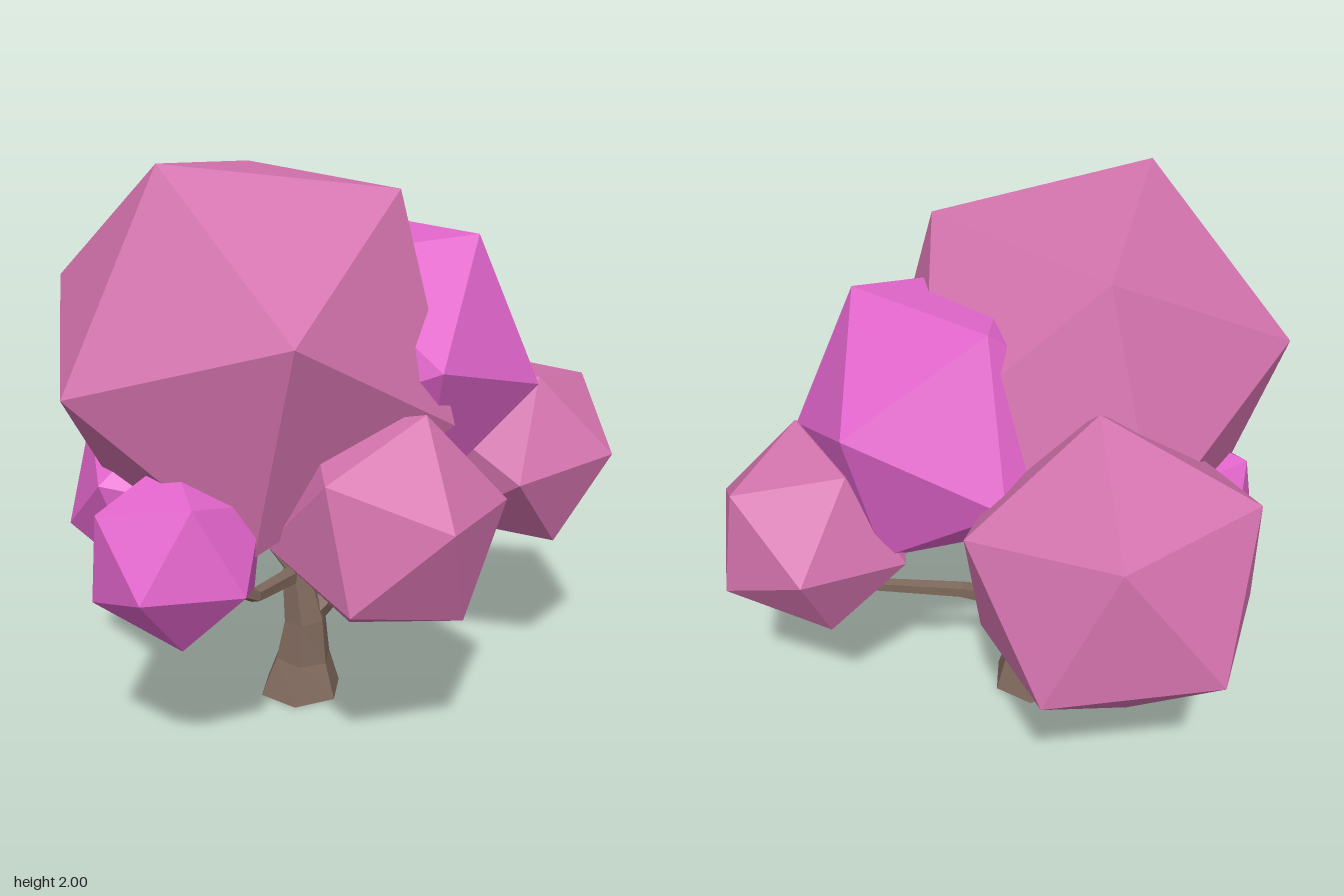
import * as THREE from 'three';

const V = (p) => new THREE.Vector3(...p);
const material = (color) => new THREE.MeshStandardMaterial({ color, flatShading: true });
const bark = material(0x80695d);
const pink = material(0xd473ae);
const magenta = material(0xe265cb);

// Icosahedral leaf clump, turned so that two neighbouring corners point at a and b
function clump(name, mat, center, a, b) {
  const c = V(center), da = V(a).sub(c), db = V(b).sub(c);
  const radius = (da.length() + db.length()) / 2;
  da.normalize();
  db.normalize();
  const y = da.clone().add(db).normalize();
  const x = da.clone().sub(db).normalize();
  const z = x.clone().cross(y);
  const mesh = new THREE.Mesh(new THREE.IcosahedronGeometry(radius, 0), mat);
  mesh.quaternion.setFromRotationMatrix(new THREE.Matrix4().makeBasis(x, y, z));
  mesh.position.copy(c);
  mesh.name = name;
  return mesh;
}

// Faceted limb through rows of [x, y, z, radius], closed at both ends
function limb(name, rows, sides) {
  const pts = rows.map((r) => V(r));
  const pos = [], index = [];
  pts.forEach((p, i) => {
    const t = pts[Math.min(i + 1, pts.length - 1)].clone().sub(pts[Math.max(i - 1, 0)]).normalize();
    if (name === 'trunk' && i === 0) t.set(0, 1, 0);
    const ref = Math.abs(t.y) > 0.8 ? V([0, 0, 1]) : V([0, 1, 0]);
    if (name === 'trunk') ref.set(0, 0, 1);
    const u = ref.clone().cross(t).normalize();
    const w = t.clone().cross(u);
    for (let k = 0; k < sides; k++) {
      const ang = ((k + 0.5) / sides) * Math.PI * 2;
      const q = p.clone().addScaledVector(u, Math.cos(ang) * rows[i][3]).addScaledVector(w, Math.sin(ang) * rows[i][3]);
      pos.push(q.x, q.y, q.z);
    }
  });
  const last = (pts.length - 1) * sides;
  for (let i = 0; i < pts.length - 1; i++) {
    for (let k = 0; k < sides; k++) {
      const n = (k + 1) % sides, a = i * sides;
      index.push(a + k, a + n, a + sides + k, a + n, a + sides + n, a + sides + k);
    }
  }
  for (let k = 1; k < sides - 1; k++) {
    index.push(0, k + 1, k, last, last + k, last + k + 1);
  }
  const geo = new THREE.BufferGeometry();
  geo.setAttribute('position', new THREE.Float32BufferAttribute(pos, 3));
  geo.setIndex(index);
  geo.computeVertexNormals();
  const mesh = new THREE.Mesh(geo, bark);
  mesh.name = name;
  return mesh;
}

export function createModel() {
  const tree = new THREE.Group();
  tree.name = 'tree';

  // Flared trunk
  tree.add(limb('trunk', [
    [-0.13, 0, 0.035, 0.155], [-0.12, 0.14, 0.035, 0.105],
    [-0.11, 0.3, 0.045, 0.08], [-0.14, 0.5, 0.045, 0.055]], 6));

  // Branches reaching into each clump
  const branches = {
    leftBranch: [[-0.1, 0.3, 0.04, 0.05], [0.03, 0.44, 0, 0.04], [0.14, 0.51, -0.06, 0.03], [0.52, 0.64, -0.2, 0.022]],
    frontLeftBranch: [[0.0, 0.42, 0.01, 0.03], [0.06, 0.53, 0.17, 0.025], [0.15, 0.66, 0.36, 0.018]],
    topBranch: [[-0.14, 0.46, 0.04, 0.045], [-0.08, 0.62, 0.09, 0.034], [-0.05, 0.9, 0.17, 0.022]],
    topFork: [[-0.09, 0.6, 0.08, 0.025], [-0.03, 0.7, 0.0, 0.02], [0.03, 0.85, -0.06, 0.015]],
    frontBranch: [[-0.14, 0.47, 0.04, 0.035], [-0.24, 0.52, 0.34, 0.027], [-0.38, 0.66, 0.55, 0.018]],
    backBranch: [[-0.14, 0.47, 0.04, 0.038], [-0.23, 0.54, -0.24, 0.028], [-0.36, 0.68, -0.46, 0.018]],
    rightBranch: [[-0.14, 0.48, 0.04, 0.035], [-0.23, 0.6, 0.06, 0.026], [-0.45, 0.74, 0.08, 0.018]],
  };
  for (const [name, rows] of Object.entries(branches)) tree.add(limb(name, rows, 5));

  // Foliage
  tree.add(
    clump('crownFoliage', pink, [-0.268, 1.354, 0.171], [-0.5, 2, 0.44], [0.23, 1.9, 0.2]),
    clump('frontFoliage', pink, [0.22, 0.877, 0.49], [0.34, 1.25, 0.51], [0.45, 0.97, 0.8]),
    clump('leftFoliage', pink, [0.632, 0.904, -0.216], [0.97, 0.94, -0.06], [0.7, 1.22, -0.04]),
    clump('backFoliage', pink, [-0.395, 1.003, -0.534], [-0.33, 1.53, -0.45], [-0.4, 1.32, -0.97]),
    clump('upperLeftFoliage', magenta, [0.17, 1.286, -0.062], [0.48, 1.72, 0], [0.7, 1.2, -0.02]),
    clump('frontRightFoliage', magenta, [-0.43, 0.81, 0.66], [-0.48, 0.77, 0.97], [-0.4, 0.525, 0.76]),
    clump('rightFoliage', magenta, [-0.6, 0.8, 0.08], [-0.76, 0.92, 0.4], [-0.93, 0.68, 0.15]),
  );
  return tree;
}
